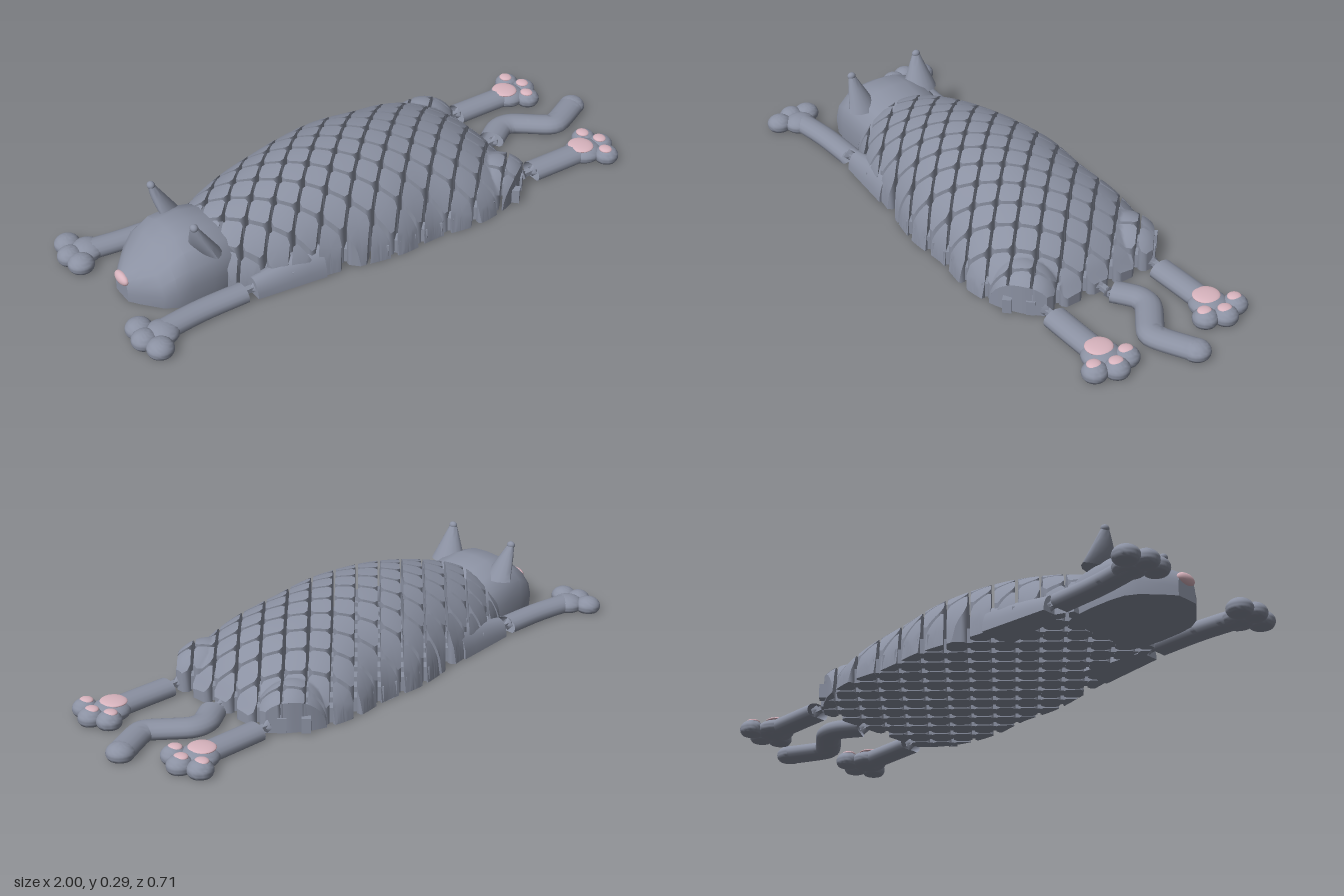
import * as THREE from 'three';
import { toCreasedNormals } from 'three/addons/utils/BufferGeometryUtils.js';

const grey = new THREE.MeshStandardMaterial({ color: 0x8b91a2, side: THREE.DoubleSide });
grey.name = 'slate grey';
const pink = new THREE.MeshStandardMaterial({ color: 0xd8b4be });
pink.name = 'pad pink';

const PITCH = 0.0535, X0 = 0.03, XMIN = -0.61, XMAX = 0.53;
const WIDTH = [[-0.62, 0.18], [-0.5, 0.235], [-0.4, 0.265], [-0.3, 0.28], [-0.2, 0.3], [-0.05, 0.325],
  [0.1, 0.318], [0.25, 0.335], [0.38, 0.315], [0.47, 0.27], [0.53, 0.215]];
const HEIGHT = [[-0.62, 0.165], [-0.55, 0.2], [-0.4, 0.247], [-0.25, 0.28], [-0.1, 0.29], [0.05, 0.282],
  [0.2, 0.252], [0.32, 0.214], [0.42, 0.158], [0.49, 0.095], [0.53, 0.04]];

// Smooth interpolation through [x, value] pairs
function sample(table, x) {
  let i = 0;
  while (i < table.length - 2 && x > table[i + 1][0]) i++;
  const at = (k) => table[Math.min(Math.max(k, 0), table.length - 1)];
  const [a, b] = [at(i), at(i + 1)];
  const t = THREE.MathUtils.clamp((x - a[0]) / (b[0] - a[0]), 0, 1), h = b[0] - a[0];
  const slope = (p, q) => (q[1] - p[1]) / (q[0] - p[0]);
  const m0 = slope(at(i - 1) === a ? a : at(i - 1), b) * h;
  const m1 = slope(a, at(i + 2)) * h;
  const t2 = t * t, t3 = t2 * t;
  return (2 * t3 - 3 * t2 + 1) * a[1] + (t3 - 2 * t2 + t) * m0 + (3 * t2 - 2 * t3) * b[1] + (t3 - t2) * m1;
}

// Height of the back, including the haunches, at a point of the floor plan
function backHeight(x, z) {
  const w = sample(WIDTH, x);
  const dome = sample(HEIGHT, x) * Math.sqrt(Math.max(0, 1 - (z / w) ** 2));
  const q = ((x - 0.41) / 0.14) ** 2 + ((Math.abs(z) - 0.21) / 0.115) ** 2;
  return Math.max(dome, 0.14 * Math.sqrt(Math.max(0, 1 - q)));
}

function bodyPoint(x, z) {
  const cx = THREE.MathUtils.clamp(x, XMIN, XMAX), w = sample(WIDTH, cx);
  const cz = THREE.MathUtils.clamp(z, -w, w);
  return [cx, backHeight(cx, cz), cz];
}

function bufferGeometry(positions, index) {
  const g = new THREE.BufferGeometry();
  g.setAttribute('position', new THREE.Float32BufferAttribute(positions, 3));
  g.setIndex(index);
  g.computeVertexNormals();
  return g;
}

// One scale: a diamond column with cut corners and a top that follows the back
function scaleGeometry(cx, cz) {
  const L = PITCH - 0.0075, T = PITCH - 0.0145, k = L - T, edge = [], rings = 6;
  const corners = [[T, -k], [T, k], [k, T], [-k, T], [-T, k], [-T, -k], [-k, -T], [k, -T]];
  corners.forEach(([ax, az], i) => {
    const [bx, bz] = corners[(i + 1) % 8], n = i % 2 ? 5 : 1;
    for (let s = 0; s < n; s++) edge.push([ax + (bx - ax) * s / n, az + (bz - az) * s / n]);
  });
  const n = edge.length, pos = [...bodyPoint(cx, cz)], index = [];
  for (let r = 1; r <= rings; r++) for (const [x, z] of edge) pos.push(...bodyPoint(cx + x * r / rings, cz + z * r / rings));
  // wall top, wall foot and underside
  const top = 1 + n * rings;
  for (const [x, z] of edge) pos.push(...bodyPoint(cx + x, cz + z));
  for (let copy = 0; copy < 2; copy++) for (const [x, z] of edge) {
    const p = bodyPoint(cx + x, cz + z);
    pos.push(p[0], 0, p[2]);
  }
  for (let i = 0; i < n; i++) {
    const j = (i + 1) % n;
    index.push(0, 1 + j, 1 + i);
    for (let r = 0; r < rings - 1; r++) {
      const a = 1 + r * n, b = a + n;
      index.push(a + i, a + j, b + i, a + j, b + j, b + i);
    }
    const foot = top + n, base = foot + n;
    index.push(top + i, top + j, foot + i, top + j, foot + j, foot + i);
    if (i > 0 && i < n - 1) index.push(base, base + i, base + j);
  }
  return bufferGeometry(pos, index);
}

// Presses everything under the floor flat onto it
function pressFlat(geometry) {
  const p = geometry.attributes.position;
  for (let i = 0; i < p.count; i++) p.setY(i, Math.max(0, p.getY(i)));
  return toCreasedNormals(geometry, 0.9);
}

function add(group, name, geometry, material = grey) {
  const mesh = new THREE.Mesh(geometry, material);
  mesh.name = name;
  group.add(mesh);
  return mesh;
}

function ellipsoid(x, y, z, rx, ry, rz) {
  return new THREE.SphereGeometry(1, 24, 16).scale(rx, ry, rz).translate(x, y, z);
}

function limb(points, radius, tension = 0.5) {
  const path = new THREE.CatmullRomCurve3(points.map(([x, z]) => new THREE.Vector3(x, 0, z)), false, 'catmullrom', tension);
  const g = new THREE.TubeGeometry(path, 40, radius, 16);
  return pressFlat(g.scale(1, 0.032 / radius, 1).translate(0, 0.02, 0));
}

function lobe(x, z, r) {
  return pressFlat(ellipsoid(x, 0.02, z, r, 0.033, r));
}

// Small pin joint between two parts
function hinge(group, x, z) {
  add(group, 'hingeBar', new THREE.BoxGeometry(0.07, 0.016, 0.02).translate(x, 0.024, z));
  for (const s of [-1, 1]) {
    const cone = new THREE.ConeGeometry(0.024, 0.026, 4).rotateZ(s * Math.PI / 2).translate(x + s * 0.012, 0.024, z);
    add(group, 'hingeCone', cone);
  }
}

function buildBody() {
  const body = new THREE.Group();
  body.name = 'body';
  const inside = (x, z) => x > XMIN && x < XMAX && Math.abs(z) < sample(WIDTH, x);
  for (let i = -13; i <= 11; i++) for (let j = -7; j <= 7; j++) {
    if ((i + j) % 2 === 0) continue;
    const x = X0 + i * PITCH, z = j * PITCH;
    if (x < XMIN - 0.02 || x > XMAX + 0.025 || Math.abs(z) > sample(WIDTH, x) + 0.025) continue;
    add(body, 'scale', scaleGeometry(x, z));
    // links to the next scales along both diagonals
    for (const s of [-1, 1]) {
      const lx = x + PITCH / 2, lz = z + s * PITCH / 2;
      if (!inside(lx + 0.02, lz + s * 0.02)) continue;
      const y = Math.min(0.05, backHeight(lx, lz) * 0.6);
      const link = new THREE.BoxGeometry(0.03, y, 0.04).rotateY(-s * Math.PI / 4);
      add(body, 'link', link.translate(lx, y / 2 + 0.003, lz));
    }
  }
  return body;
}

function buildHead() {
  const head = new THREE.Group();
  head.name = 'head';
  // x, half width, height
  const sections = [[-0.9, 0.04, 0.08], [-0.875, 0.075, 0.1], [-0.825, 0.135, 0.125], [-0.785, 0.16, 0.165],
    [-0.735, 0.168, 0.195], [-0.66, 0.17, 0.2], [-0.59, 0.165, 0.185], [-0.55, 0.15, 0.17]];
  const outline = [[-0.97, 0], [-1, 0.35], [-0.92, 0.65], [-0.7, 0.86], [-0.35, 0.98], [0, 1],
    [0.35, 0.98], [0.7, 0.86], [0.92, 0.65], [1, 0.35], [0.97, 0]];
  const n = outline.length, pos = [], index = [];
  for (const [x, w, h] of sections) for (const [z, y] of outline) pos.push(x, y * h, z * w);
  for (let s = 0; s < sections.length - 1; s++) for (let i = 0; i < n; i++) {
    const a = s * n + i, b = s * n + (i + 1) % n;
    index.push(a, b, a + n, b, b + n, a + n);
  }
  const last = (sections.length - 1) * n;
  for (let i = 1; i < n - 1; i++) index.push(0, i + 1, i, last, last + i, last + i + 1);
  add(head, 'skull', toCreasedNormals(bufferGeometry(pos, index), 0.6));
  add(head, 'nose', ellipsoid(-0.897, 0.068, 0, 0.017, 0.02, 0.038), pink);
  for (const s of [-1, 1]) {
    // ear: tapering shell with a blunt tip, hollow towards the face
    const ear = new THREE.CylinderGeometry(0.012, 0.062, 0.115, 16, 6);
    const p = ear.attributes.position;
    for (let i = 0; i < p.count; i++) {
      const t = p.getY(i) / 0.115 + 0.5, x = p.getX(i);
      p.setX(i, (x < 0 ? x * (0.15 + 0.7 * t) : x) * 0.9 - 0.035 * t);
    }
    ear.rotateY(s * 0.35).translate(-0.672, 0.21, s * 0.125);
    const mesh = add(head, 'ear', toCreasedNormals(ear, 0.8));
    mesh.rotation.x = 0;
    add(head, 'earTip', ellipsoid(-0.704, 0.266, s * 0.137, 0.013, 0.013, 0.015));
  }
  return head;
}

function buildLegs(side) {
  const legs = new THREE.Group();
  legs.name = side > 0 ? 'frontSideLegs' : 'backSideLegs';
  const at = (z) => side * z;
  // front leg with shoulder and spread paw
  add(legs, 'shoulder', pressFlat(new THREE.CylinderGeometry(0.075, 0.044, 0.24, 20, 4)
    .rotateZ(-Math.PI / 2).scale(1, 1.35, 0.85).translate(-0.435, 0, at(0.222))));
  hinge(legs, -0.575, at(0.225));
  add(legs, 'frontLeg', limb([[-0.592, at(0.225)], [-0.75, at(0.228)], [-0.9, at(0.245)]], 0.041));
  for (const [x, z, r] of [[-0.895, 0.25, 0.055], [-0.935, 0.312, 0.044], [-0.957, 0.25, 0.042], [-0.945, 0.193, 0.044]])
    add(legs, 'frontPaw', lobe(x, at(z), r));
  // hind leg with upturned paw
  hinge(legs, 0.55, at(0.217));
  add(legs, 'hindLeg', limb([[0.57, at(0.215)], [0.68, at(0.216)], [0.8, at(0.216)]], 0.045));
  add(legs, 'hindPaw', lobe(0.8, at(0.216), 0.065));
  add(legs, 'solePad', ellipsoid(0.787, 0.047, at(0.216), 0.044, 0.009, 0.046), pink);
  for (const [x, z] of [[0.85, 0.158], [0.877, 0.218], [0.85, 0.282]]) {
    add(legs, 'hindToe', lobe(x, at(z), 0.042));
    add(legs, 'toePad', ellipsoid(x - 0.006, 0.047, at(z), 0.022, 0.0085, 0.024), pink);
  }
  return legs;
}

function buildTail() {
  const tail = new THREE.Group();
  tail.name = 'tail';
  hinge(tail, 0.55, 0);
  add(tail, 'tailCurve', limb([[0.575, -0.015], [0.645, -0.06], [0.7, -0.055], [0.805, 0.025], [0.85, 0.02], [0.95, -0.03]], 0.045, 0.35));
  add(tail, 'tailTip', lobe(0.953, -0.031, 0.046));
  return tail;
}

export function createModel() {
  const model = new THREE.Group();
  model.name = 'sleepingCat';
  model.add(buildBody(), buildHead(), buildLegs(1), buildLegs(-1), buildTail());
  return model;
}
